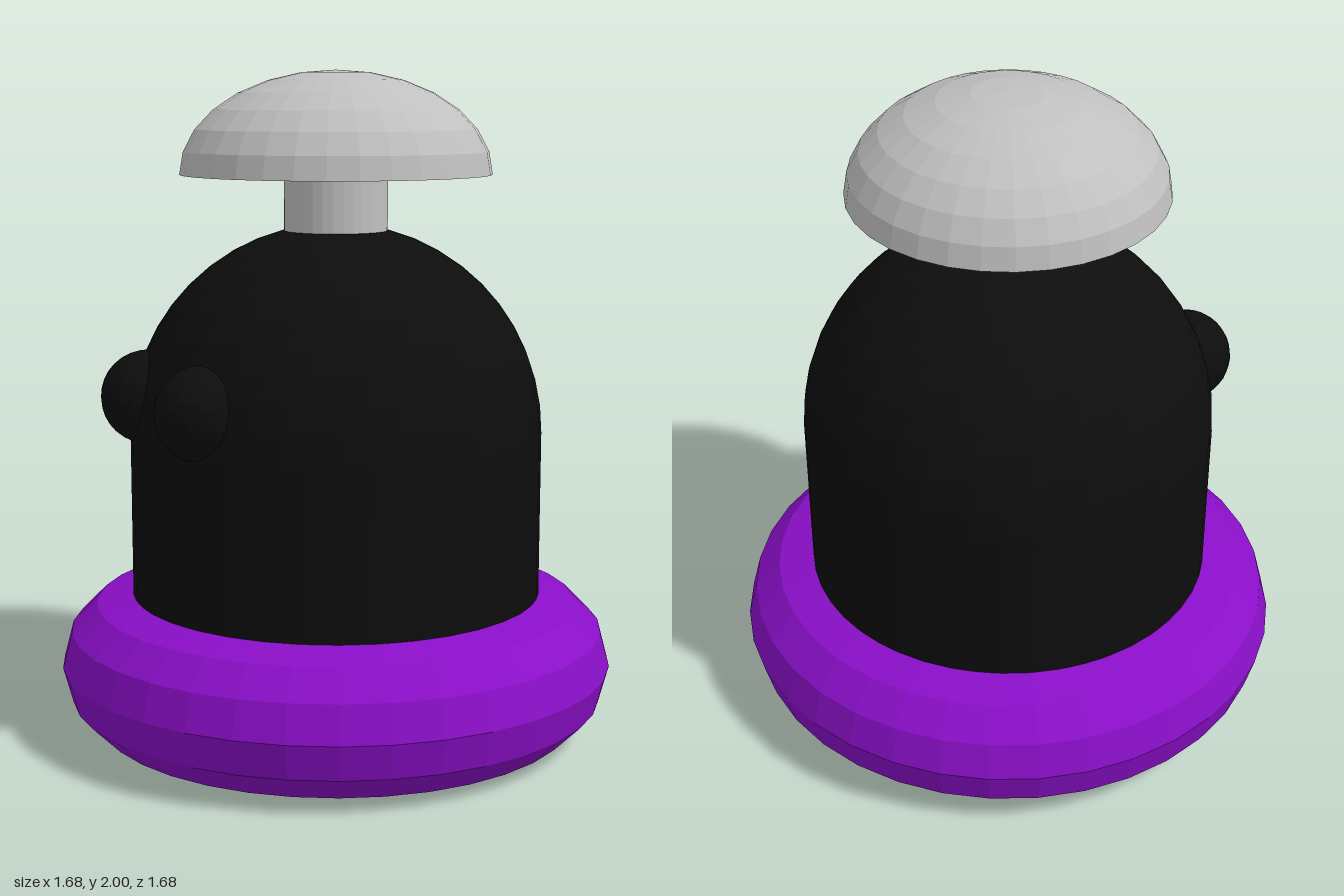
import * as THREE from 'three';

export function createModel() {
  const group = new THREE.Group();
  const material = (name, color, extra = {}) => {
    const m = new THREE.MeshStandardMaterial({ color, flatShading: true, ...extra });
    m.name = name;
    return m;
  };
  const black = material('black', 0x0d0d0d);
  const purple = material('purple', 0x8a0fc8);
  const grey = material('light grey', 0xc0c0c0, { side: THREE.DoubleSide });

  const add = (name, geometry, mat, x = 0, y = 0, z = 0) => {
    const mesh = new THREE.Mesh(geometry, mat);
    mesh.name = name;
    mesh.position.set(x, y, z);
    group.add(mesh);
    return mesh;
  };

  // Ring-shaped base
  const ring = new THREE.TorusGeometry(0.625, 0.215, 12, 36);
  ring.rotateX(-Math.PI / 2);
  add('baseRing', ring, purple, 0, 0.215, 0);

  // Domed body: flat floor, straight wall, rounded top
  const R = 0.622, domeY = 0.926, steps = 12;
  const profile = [new THREE.Vector2(0, 0.05), new THREE.Vector2(R, 0.05)];
  for (let i = 0; i <= steps; i++) {
    const a = (i / steps) * Math.PI / 2;
    const r = i === steps ? 0 : R * Math.cos(a);
    profile.push(new THREE.Vector2(r, Math.min(domeY + R * Math.sin(a), 1.53)));
  }
  add('body', new THREE.LatheGeometry(profile, 48), black);

  // Two round eyes on the model's right side
  for (const [name, z] of [['backEye', -0.195], ['frontEye', 0.168]]) {
    add(name, new THREE.SphereGeometry(0.14, 24, 16), black, -0.535, 1.04, z);
  }

  // Stem and hollow cap
  add('stem', new THREE.CylinderGeometry(0.155, 0.155, 0.48, 32), grey, 0, 1.73, 0);
  const cap = new THREE.SphereGeometry(1, 32, 7, 0, Math.PI * 2, 0, Math.PI / 2);
  cap.scale(0.466, 0.306, 0.466);
  add('cap', cap, grey, 0, 1.694, 0);

  return group;
}
